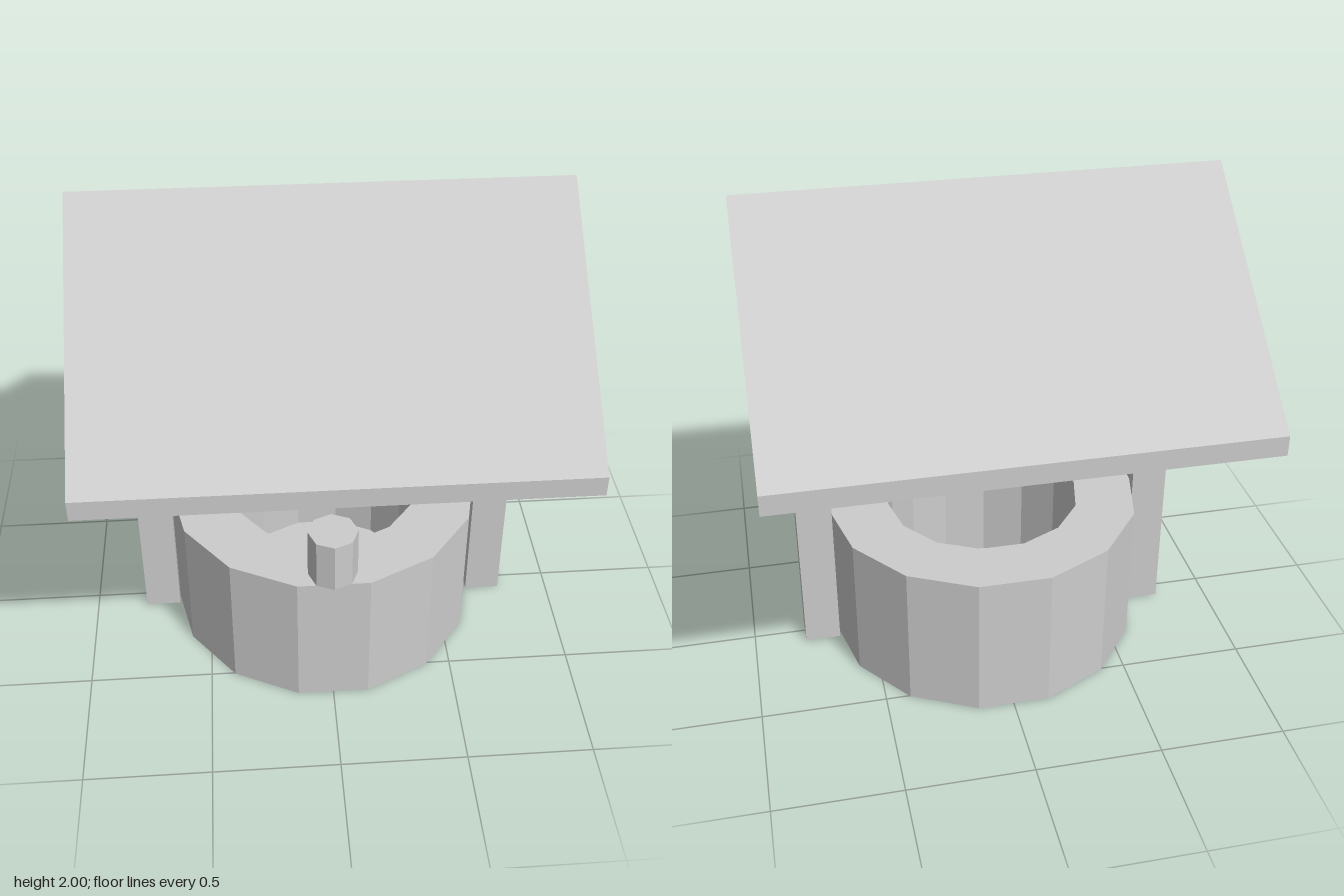
import * as THREE from 'three';

export function createModel() {
  const group = new THREE.Group();
  group.name = 'wishingWell';
  const grey = new THREE.MeshStandardMaterial({ color: 0xcccccc, flatShading: true, side: THREE.DoubleSide });
  grey.name = 'lightGrey';

  const add = (name, geometry, x = 0, y = 0, z = 0) => {
    const mesh = new THREE.Mesh(geometry, grey);
    mesh.name = name;
    mesh.position.set(x, y, z);
    group.add(mesh);
    return mesh;
  };
  const box = (name, w, h, d, x, y, z) => add(name, new THREE.BoxGeometry(w, h, d), x, y, z);
  // Cylinder lying along x
  const rod = (name, r, length, sides, x, y, z) =>
    add(name, new THREE.CylinderGeometry(r, r, length, sides).rotateZ(Math.PI / 2), x, y, z);

  // Fourteen-sided stone wall, open underneath, with an inner shaft and floor
  const profile = [[0.645, 0], [0.645, 0.5], [0.645, 0.61], [0.4, 0.61], [0.4, 0.03], [0, 0.03]]
    .map(([r, y]) => new THREE.Vector2(r, y));
  add('wellWall', new THREE.LatheGeometry(profile, 14, Math.PI / 2));

  // Gabled roof: chevron section extruded along x
  const section = new THREE.Shape([[-0.858, 1.2], [0, 1.92], [0.858, 1.2], [0.858, 1.28], [0, 2], [-0.858, 1.28]]
    .map(([z, y]) => new THREE.Vector2(z, y)));
  const roof = new THREE.ExtrudeGeometry(section, { depth: 1.856, bevelEnabled: false });
  roof.translate(0, 0, -0.928).rotateY(Math.PI / 2);
  add('roof', roof);

  // Ridge beam, posts and diagonal braces
  box('ridgeBeam', 1.78, 0.14, 0.1, 0, 1.825, 0);
  for (const side of [-1, 1]) {
    const label = side > 0 ? 'left' : 'right';
    box(label + 'Post', 0.145, 1.865, 0.14, side * 0.7125, 0.9325, 0);
    const dx = 0.33, dy = -0.42;
    const brace = box(label + 'Brace', Math.hypot(dx, dy), 0.075, 0.07, side * 0.495, 1.59, 0);
    brace.rotation.z = side * Math.atan2(dy, dx);
  }

  // Rope roller
  rod('roller', 0.056, 1.21, 8, 0, 0.966, 0);

  // Crank on the left post
  rod('crankHub', 0.018, 0.09, 8, 0.743, 0.968, 0);
  box('crankArm', 0.015, 0.19, 0.026, 0.817, 0.875, 0);
  rod('crankHandle', 0.012, 0.1, 6, 0.86, 0.79, 0);

  // Bucket standing on the front of the rim
  add('bucket', new THREE.CylinderGeometry(0.098, 0.098, 0.215, 8), 0, 0.7175, 0.56);

  return group;
}
